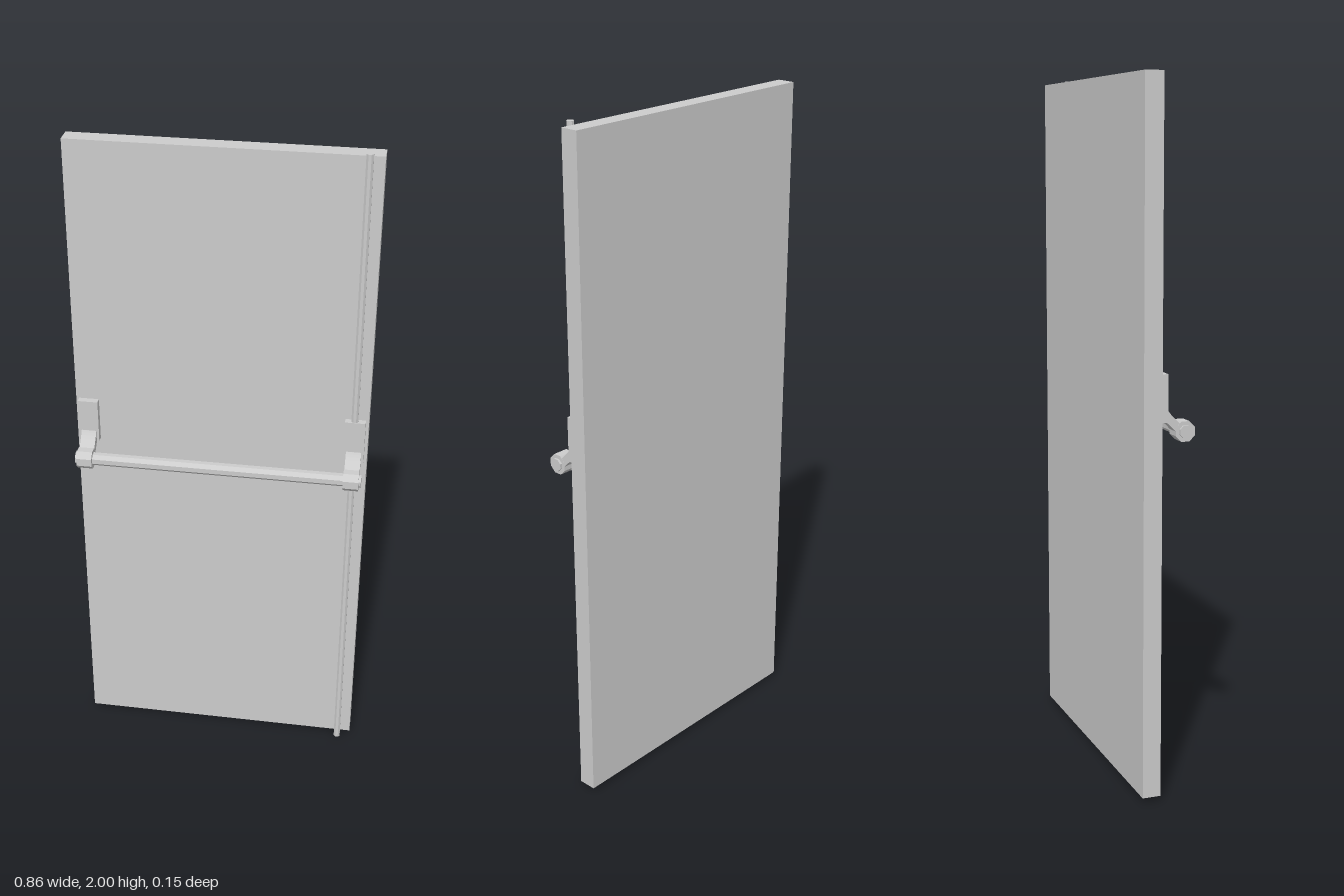
import * as THREE from 'three';

const material = new THREE.MeshStandardMaterial({ color: 0xcccccc, flatShading: true });

function add(parent, name, geometry, x, y, z) {
  const mesh = new THREE.Mesh(geometry, material);
  mesh.name = name;
  mesh.position.set(x, y, z);
  parent.add(mesh);
  return mesh;
}

// Octagonal prism lying along x, with flats on top and front; size is across the flats
function octagonalBar(size, length) {
  const r = size / 2 / Math.cos(Math.PI / 8);
  return new THREE.CylinderGeometry(r, r, length, 8).rotateY(Math.PI / 8).rotateZ(Math.PI / 2);
}

// Bent arm: side profile in (z, y), extruded across its width
function armGeometry(width) {
  const s = new THREE.Shape();
  s.moveTo(-0.012, 1.105);
  s.lineTo(-0.005, 1.105);
  s.quadraticCurveTo(0.004, 1.088, 0.034, 1.062);
  s.lineTo(0.05, 1.042);
  s.lineTo(0.026, 1.035);
  s.quadraticCurveTo(0.006, 1.06, -0.012, 1.072);
  s.closePath();
  const g = new THREE.ExtrudeGeometry(s, { depth: width, bevelEnabled: false, curveSegments: 6 });
  return g.translate(0, 0, -width / 2).rotateY(-Math.PI / 2);
}

export function createModel() {
  const model = new THREE.Group();
  model.name = 'panicBarDoor';
  const barY = 1.042, barZ = 0.047;

  // Door leaf
  add(model, 'doorLeaf', new THREE.BoxGeometry(0.856, 1.975, 0.053), 0, 1.0025, -0.0525);

  // Vertical latch rod, reaching past both ends of the leaf
  const rod = new THREE.CylinderGeometry(0.0105, 0.0105, 2, 8).rotateY(Math.PI / 8);
  add(model, 'latchRod', rod, 0.388, 1, -0.0165);

  // Push bar
  add(model, 'pushBar', octagonalBar(0.035, 0.838), 0, barY, barZ);

  // Mounting plate, arm and end clamp on each side
  for (const [label, side] of [['left', 1], ['right', -1]]) {
    const bracket = new THREE.Group();
    bracket.name = label + 'Bracket';
    bracket.position.x = side * 0.39;
    add(bracket, 'mountingPlate', new THREE.BoxGeometry(0.059, 0.132, 0.021), 0, 1.136, -0.0165);
    // The profile's z axis maps to +z after turning about the vertical
    add(bracket, 'arm', armGeometry(0.044), 0, 0, 0);
    add(bracket, 'barClamp', octagonalBar(0.056, 0.045), 0, barY, barZ);
    model.add(bracket);
  }
  return model;
}
